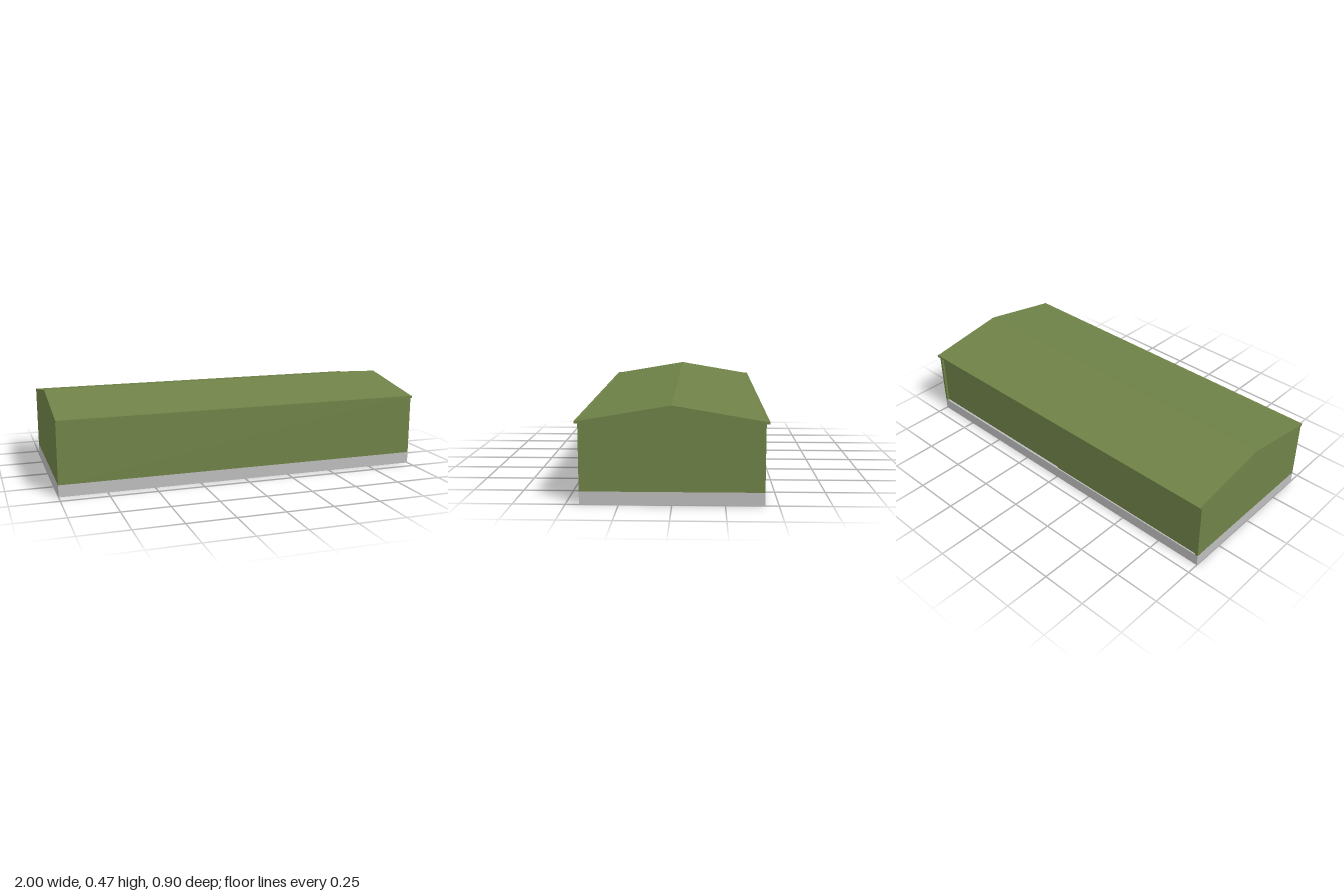
import * as THREE from 'three';

const HALF = 1, DEPTH = 0.435, BASE = 0.063, EAVE = 0.397, RIDGE = 0.471;

export function createModel() {
  const model = new THREE.Group();
  const green = new THREE.MeshStandardMaterial({ color: 0x6f8247, side: THREE.DoubleSide });
  green.name = 'olive green cladding';
  const grey = new THREE.MeshStandardMaterial({ color: 0xbebdbd, side: THREE.DoubleSide });
  grey.name = 'grey concrete';

  const add = (name, geometry, material, x = 0, y = 0, z = 0, ry = 0) => {
    const mesh = new THREE.Mesh(geometry, material);
    mesh.name = name;
    mesh.position.set(x, y, z);
    mesh.rotation.y = ry;
    model.add(mesh);
    return mesh;
  };
  const plane = (w, h) => new THREE.PlaneGeometry(w, h);
  const outline = (points) => new THREE.ShapeGeometry(
    new THREE.Shape(points.map(([x, y]) => new THREE.Vector2(x, y))));

  // Foundation skirt: four thin sides, open underneath
  for (const [side, ry] of [['front', 0], ['back', Math.PI]]) {
    add(side + 'Foundation', plane(2 * HALF, BASE), grey, 0, BASE / 2, side === 'front' ? DEPTH : -DEPTH, ry);
  }
  for (const s of [1, -1]) {
    const side = s > 0 ? 'left' : 'right';
    add(side + 'Foundation', plane(2 * DEPTH, BASE), grey, s * HALF, BASE / 2, 0, s * Math.PI / 2);
    // Gable end walls
    add(side + 'Gable', outline([[-DEPTH, BASE], [DEPTH, BASE], [DEPTH, EAVE], [0, RIDGE], [-DEPTH, EAVE]]),
      green, s * HALF, 0, 0, s * Math.PI / 2);
  }

  // Plain front wall
  add('frontWall', plane(2 * HALF, EAVE - BASE), green, 0, (EAVE + BASE) / 2, DEPTH);

  // Back wall frame around the wide door opening
  const jamb = HALF - 0.015, head = 0.372, recess = 0.012;
  add('backDoorFrame', outline([[-HALF, BASE], [-jamb, BASE], [-jamb, head], [jamb, head],
    [jamb, BASE], [HALF, BASE], [HALF, EAVE], [-HALF, EAVE]]), green, 0, 0, -DEPTH, Math.PI);

  // Reveals of the opening
  const mid = -DEPTH + recess / 2, doorHeight = head - BASE, doorY = (head + BASE) / 2;
  for (const s of [1, -1]) {
    add(s > 0 ? 'leftReveal' : 'rightReveal', plane(recess, doorHeight), green, s * jamb, doorY, mid, -s * Math.PI / 2);
  }
  add('topReveal', plane(2 * jamb, recess), green, 0, head, mid).rotation.x = Math.PI / 2;
  add('doorSill', plane(2 * jamb, recess), grey, 0, BASE, mid).rotation.x = -Math.PI / 2;

  // Two sliding doors, one track slightly behind the other
  const step = 0.005;
  add('leftDoor', plane(jamb, doorHeight), green, jamb / 2, doorY, -DEPTH + recess, Math.PI);
  add('rightDoor', plane(jamb, doorHeight), green, -jamb / 2, doorY, -DEPTH + recess - step, Math.PI);
  add('doorEdge', plane(step, doorHeight), green, 0, doorY, -DEPTH + recess - step / 2, Math.PI / 2);

  // Roof slopes and eave gutters
  const slope = Math.hypot(DEPTH, RIDGE - EAVE);
  const pitch = Math.atan2(RIDGE - EAVE, DEPTH);
  for (const s of [1, -1]) {
    const side = s > 0 ? 'front' : 'back';
    const roof = plane(2 * HALF, slope).rotateX(-Math.PI / 2 + s * pitch);
    add(side + 'Roof', roof, green, 0, (RIDGE + EAVE) / 2, s * DEPTH / 2);
    add(side + 'Eave', new THREE.BoxGeometry(2 * HALF, 0.012, 0.016), green, 0, 0.391, s * (DEPTH + 0.008));
  }
  return model;
}
